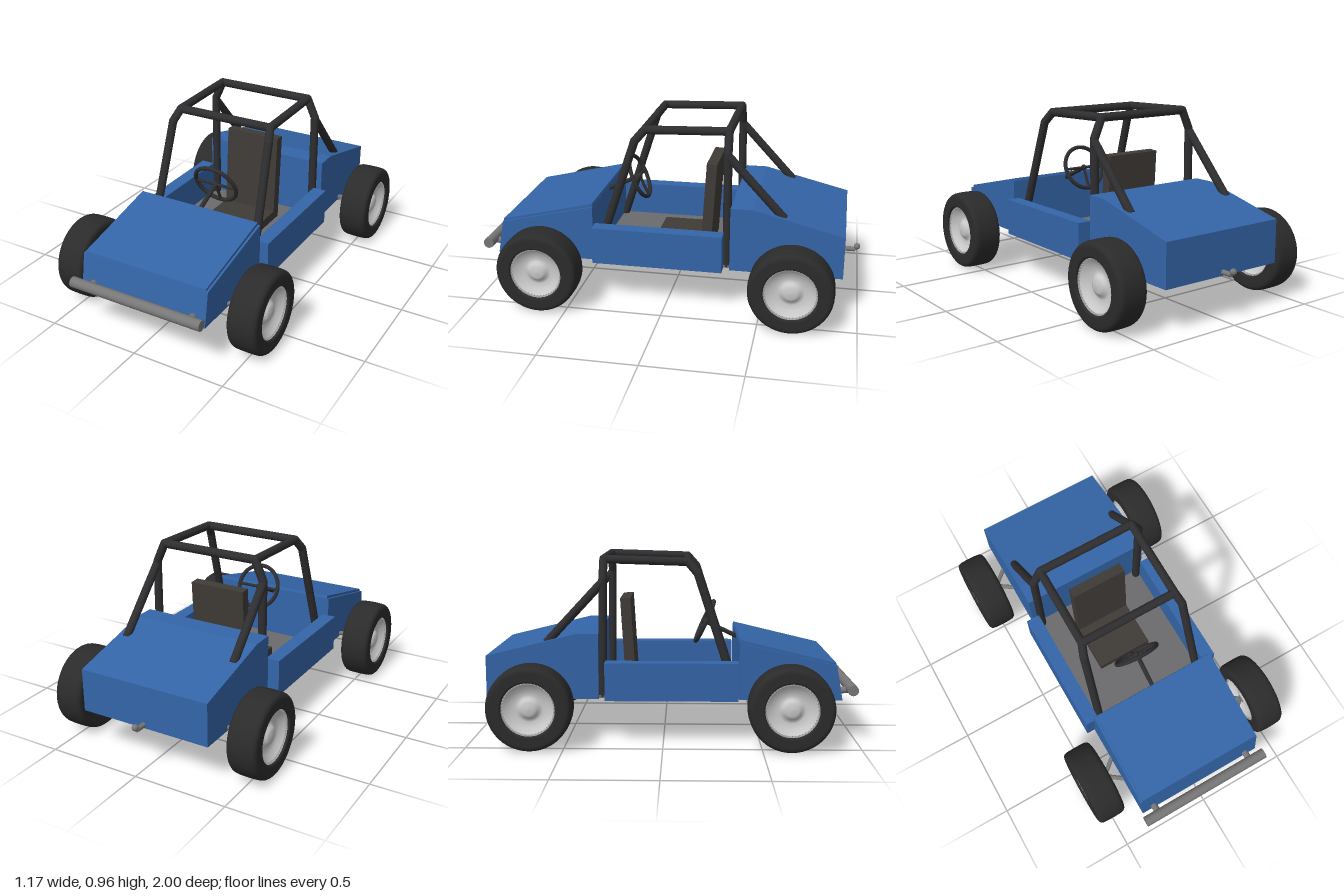
import * as THREE from 'three';

const material = (color, side = THREE.FrontSide) => new THREE.MeshStandardMaterial({ color, side });
const blue = material(0x3465a8);
const tubeDark = material(0x2e2e30);
const rubber = material(0x2b2b2b);
const seatFabric = material(0x3f3b37);
const floorGrey = material(0x6b6b6d);
const metal = material(0x777777);
const rimGrey = material(0xcccccc);

const V = (x, y, z) => new THREE.Vector3(x, y, z);

export function createModel() {
  const model = new THREE.Group();

  function add(name, geometry, mat, parent = model) {
    const mesh = new THREE.Mesh(geometry, mat);
    mesh.name = name;
    parent.add(mesh);
    return mesh;
  }

  function box(name, mat, [x0, x1], [y0, y1], [z0, z1]) {
    const mesh = add(name, new THREE.BoxGeometry(x1 - x0, y1 - y0, z1 - z0), mat);
    mesh.position.set((x0 + x1) / 2, (y0 + y1) / 2, (z0 + z1) / 2);
    return mesh;
  }

  // Side profile of [z, y] points, extruded across the car
  function panel(name, points, halfWidth, mat) {
    const shape = new THREE.Shape(points.map(([z, y]) => new THREE.Vector2(z, y)));
    const geometry = new THREE.ExtrudeGeometry(shape, { depth: halfWidth * 2, bevelEnabled: false });
    geometry.translate(0, 0, -halfWidth);
    geometry.rotateY(-Math.PI / 2);
    return add(name, geometry, mat);
  }

  // Straight round bars through a list of points, with ball joints at the bends
  function bars(name, points, radius, mat, parent = model) {
    const group = new THREE.Group();
    group.name = name;
    parent.add(group);
    for (let i = 0; i < points.length - 1; i++) {
      const dir = points[i + 1].clone().sub(points[i]);
      const bar = add('bar', new THREE.CylinderGeometry(radius, radius, dir.length(), 16), mat, group);
      bar.position.copy(points[i]).addScaledVector(dir, 0.5);
      bar.quaternion.setFromUnitVectors(V(0, 1, 0), dir.normalize());
      if (i > 0) add('joint', new THREE.SphereGeometry(radius, 16, 10), mat, group).position.copy(points[i]);
    }
    return group;
  }

  // Body
  panel('frontBody', [[0.39, 0.225], [0.92, 0.225], [0.888, 0.405], [0.39, 0.52]], 0.36, blue);
  panel('hood', [[0.39, 0.52], [0.888, 0.405], [0.885, 0.418], [0.395, 0.535]], 0.348, blue);
  panel('rearBody', [[-0.915, 0.225], [-0.335, 0.225], [-0.335, 0.565], [-0.45, 0.565], [-0.915, 0.45]], 0.36, blue);
  box('floor', floorGrey, [-0.335, 0.335], [0.226, 0.24], [-0.335, 0.39]);
  for (const s of [-1, 1]) {
    const xs = [s * 0.33, s * 0.405].sort((a, b) => a - b);
    box('sidePod', blue, xs, [0.225, 0.422], [-0.30, 0.385]);
  }

  // Seat
  box('seatBase', seatFabric, [-0.155, 0.155], [0.24, 0.29], [-0.2, 0.1]);
  panel('seatBack', [[-0.205, 0.24], [-0.15, 0.24], [-0.18, 0.728], [-0.235, 0.725]], 0.155, seatFabric);

  // Roll cage
  const cage = new THREE.Group();
  cage.name = 'rollCage';
  model.add(cage);
  const r = 0.022;
  // A hoop goes up the left side, across and down the right side
  const hoop = (name, side) => bars(name, [...side, ...side.map((p) => V(-p.x, p.y, p.z)).reverse()], r, tubeDark, cage);
  hoop('frontHoop', [V(0.312, 0.235, 0.383), V(0.287, 0.87, 0.175), V(0.268, 0.928, 0.125)]);
  hoop('rearHoop', [V(0.314, 0.23, -0.316), V(0.314, 0.84, -0.312), V(0.268, 0.942, -0.31)]);
  for (const s of [-1, 1]) {
    bars('roofRail', [V(s * 0.268, 0.928, 0.125), V(s * 0.268, 0.942, -0.31)], r, tubeDark, cage);
    bars('rearStay', [V(s * 0.316, 0.83, -0.312), V(s * 0.316, 0.515, -0.605)], r, tubeDark, cage);
  }

  // Steering wheel, facing back and up along its column
  const steering = new THREE.Group();
  steering.name = 'steeringWheel';
  steering.position.set(0, 0.585, 0.218);
  steering.rotation.x = 0.43;
  model.add(steering);
  add('rim', new THREE.TorusGeometry(0.12, 0.011, 12, 40), tubeDark, steering);
  bars('crossSpoke', [V(-0.12, 0, 0), V(0.12, 0, 0)], 0.008, tubeDark, steering);
  bars('lowerSpoke', [V(0, 0, 0), V(0, -0.12, 0)], 0.008, tubeDark, steering);
  add('hub', new THREE.SphereGeometry(0.016, 16, 10), tubeDark, steering);
  bars('steeringColumn', [V(0, 0.585, 0.218), V(0, 0.5, 0.4)], 0.012, tubeDark);

  // Bumper and tow hitch
  bars('frontBumper', [V(-0.375, 0.278, 0.972), V(0.375, 0.278, 0.972)], 0.028, metal);
  for (const s of [-1, 1]) bars('bumperMount', [V(s * 0.29, 0.262, 0.89), V(s * 0.29, 0.268, 0.97)], 0.018, metal);
  bars('hitchBar', [V(0, 0.243, -0.9), V(0, 0.243, -0.972)], 0.013, metal);
  bars('hitchPost', [V(0, 0.243, -0.972), V(0, 0.262, -0.982)], 0.009, metal);
  add('hitchBall', new THREE.SphereGeometry(0.017, 20, 14), metal).position.set(0, 0.26, -0.982);

  // Wheels: closed tyre ring around a dished rim, both turned about the axle
  const tyreShape = new THREE.Shape();
  const half = 0.08, inner = 0.135, outer = 0.217, c = 0.032;
  tyreShape.moveTo(inner, -half + 0.012);
  tyreShape.quadraticCurveTo(inner, -half, inner + 0.012, -half);
  tyreShape.lineTo(outer - c, -half);
  tyreShape.quadraticCurveTo(outer - 0.003, -half, outer - 0.002, -half + c);
  tyreShape.quadraticCurveTo(outer + 0.001, 0, outer - 0.002, half - c);
  tyreShape.quadraticCurveTo(outer - 0.003, half, outer - c, half);
  tyreShape.lineTo(inner + 0.012, half);
  tyreShape.quadraticCurveTo(inner, half, inner, half - 0.012);
  tyreShape.closePath();
  const tyreGeometry = new THREE.LatheGeometry(tyreShape.getPoints(6), 48).rotateZ(-Math.PI / 2);

  const dish = [[0, 0.058], [0.03, 0.056], [0.046, 0.048], [0.054, 0.036], [0.07, 0.033], [0.1, 0.04], [0.125, 0.06], [0.137, 0.07]];
  const rimPoints = [...dish.map(([x, y]) => [x, -y]), ...dish.slice().reverse()].map(([x, y]) => new THREE.Vector2(x, y));
  const rimGeometry = new THREE.LatheGeometry(rimPoints, 48).rotateZ(-Math.PI / 2);

  for (const [z, label] of [[0.64, 'front'], [-0.665, 'rear']]) {
    for (const s of [-1, 1]) {
      const wheel = new THREE.Group();
      wheel.name = `${label}Wheel`;
      wheel.position.set(s * 0.507, 0.218, z);
      model.add(wheel);
      add('tyre', tyreGeometry, rubber, wheel);
      add('rim', rimGeometry, rimGrey, wheel);
      // Suspension arms meeting at the wheel hub
      for (const d of [-1, 1]) {
        bars(`${label}SuspensionArm`, [V(s * 0.34, 0.245, z + d * 0.08), V(s * 0.455, 0.218, z - d * 0.012)], 0.012, metal);
      }
    }
  }

  return model;
}
